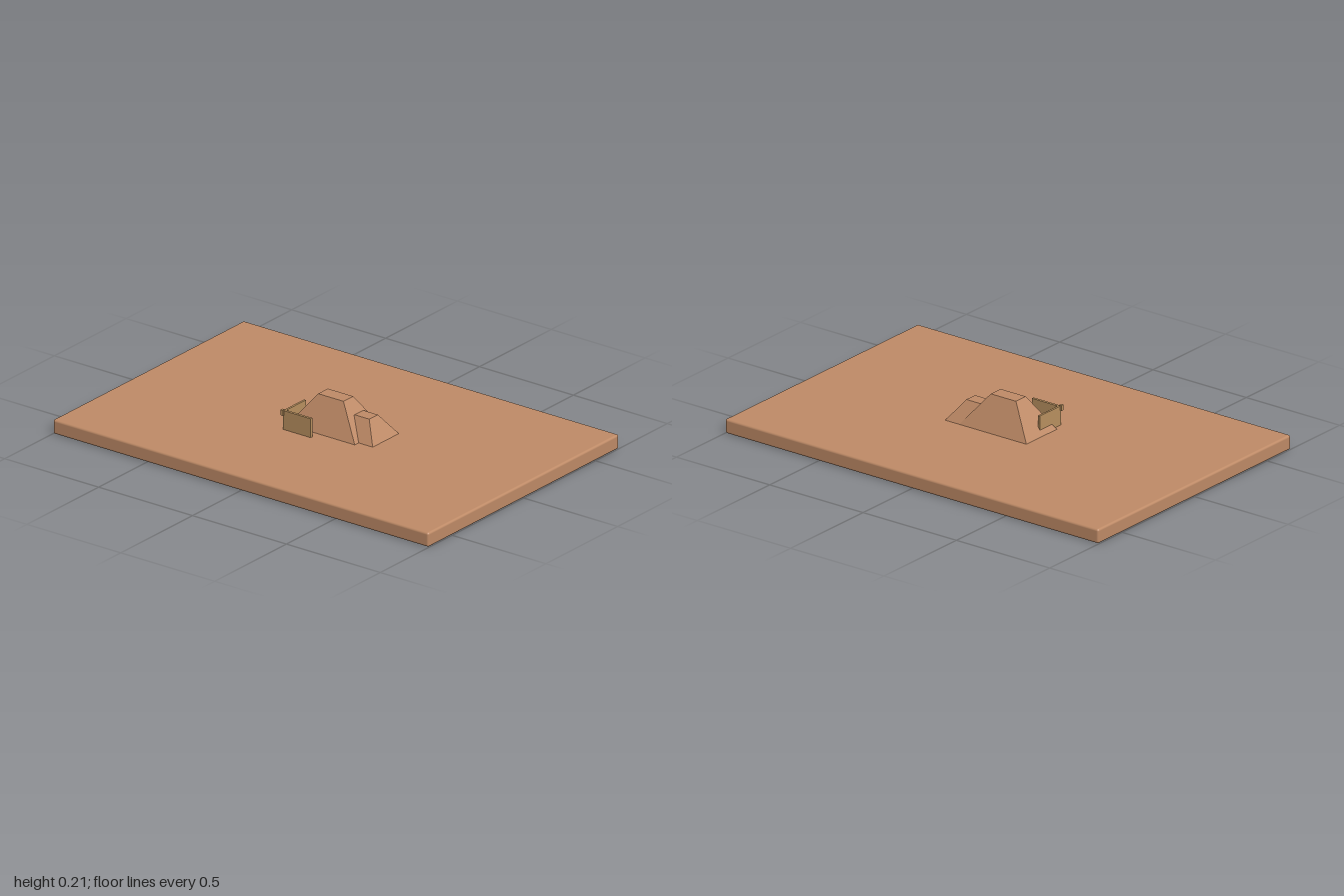
import * as THREE from 'three';
import { RoundedBoxGeometry } from 'three/addons/geometries/RoundedBoxGeometry.js';

const GROUND = 0.066;
const clay = new THREE.MeshStandardMaterial({ color: 0xbe8a66 });
const clayFlat = new THREE.MeshStandardMaterial({ color: 0xbe8a66, flatShading: true });
const fenceMat = new THREE.MeshStandardMaterial({ color: 0xb8905f, flatShading: true });

function add(group, name, geometry, material) {
  const mesh = new THREE.Mesh(geometry, material);
  mesh.name = name;
  group.add(mesh);
  return mesh;
}

// Box given by its minimum and maximum corners
function boxBetween([x0, y0, z0], [x1, y1, z1]) {
  return new THREE.BoxGeometry(x1 - x0, y1 - y0, z1 - z0)
    .translate((x0 + x1) / 2, (y0 + y1) / 2, (z0 + z1) / 2);
}

// Truncated pyramid: rectangles [x0, x1, z0, z1] at the base and the top
function frustum(base, top, y0, y1) {
  const geometry = new THREE.BoxGeometry(1, 1, 1);
  const p = geometry.attributes.position;
  for (let i = 0; i < p.count; i++) {
    const upper = p.getY(i) > 0;
    const r = upper ? top : base;
    p.setXYZ(i, p.getX(i) < 0 ? r[0] : r[1], upper ? y1 : y0, p.getZ(i) < 0 ? r[2] : r[3]);
  }
  geometry.computeVertexNormals();
  return geometry;
}

export function createModel() {
  const model = new THREE.Group();
  model.name = 'moundOnSlab';

  // Wide slab with softly rounded edges
  const slab = add(model, 'slab', new RoundedBoxGeometry(2, GROUND, 1.33, 3, 0.01), clay);
  slab.position.y = GROUND / 2;

  // Large mound and the smaller one leaning into its left side
  add(model, 'mainMound', frustum(
    [-0.18, 0.18, -0.105, 0.105], [-0.07, 0.065, -0.035, 0.033], GROUND, 0.212), clayFlat);
  add(model, 'sideMound', frustum(
    [0.045, 0.255, -0.105, 0.078], [0.112, 0.19, -0.043, 0.017], GROUND, 0.157), clayFlat);

  // Thin L-shaped wall around the front right corner
  const wall = new THREE.Group();
  wall.name = 'cornerWall';
  add(wall, 'frontWall', boxBetween([-0.163, GROUND, 0.145], [-0.015, 0.153, 0.157]), fenceMat);
  add(wall, 'sideWall', boxBetween([-0.163, GROUND, 0.01], [-0.153, 0.153, 0.145]), fenceMat);
  add(wall, 'cornerCap', boxBetween([-0.169, 0.132, 0.15], [-0.157, 0.157, 0.165]), fenceMat);
  model.add(wall);

  return model;
}
